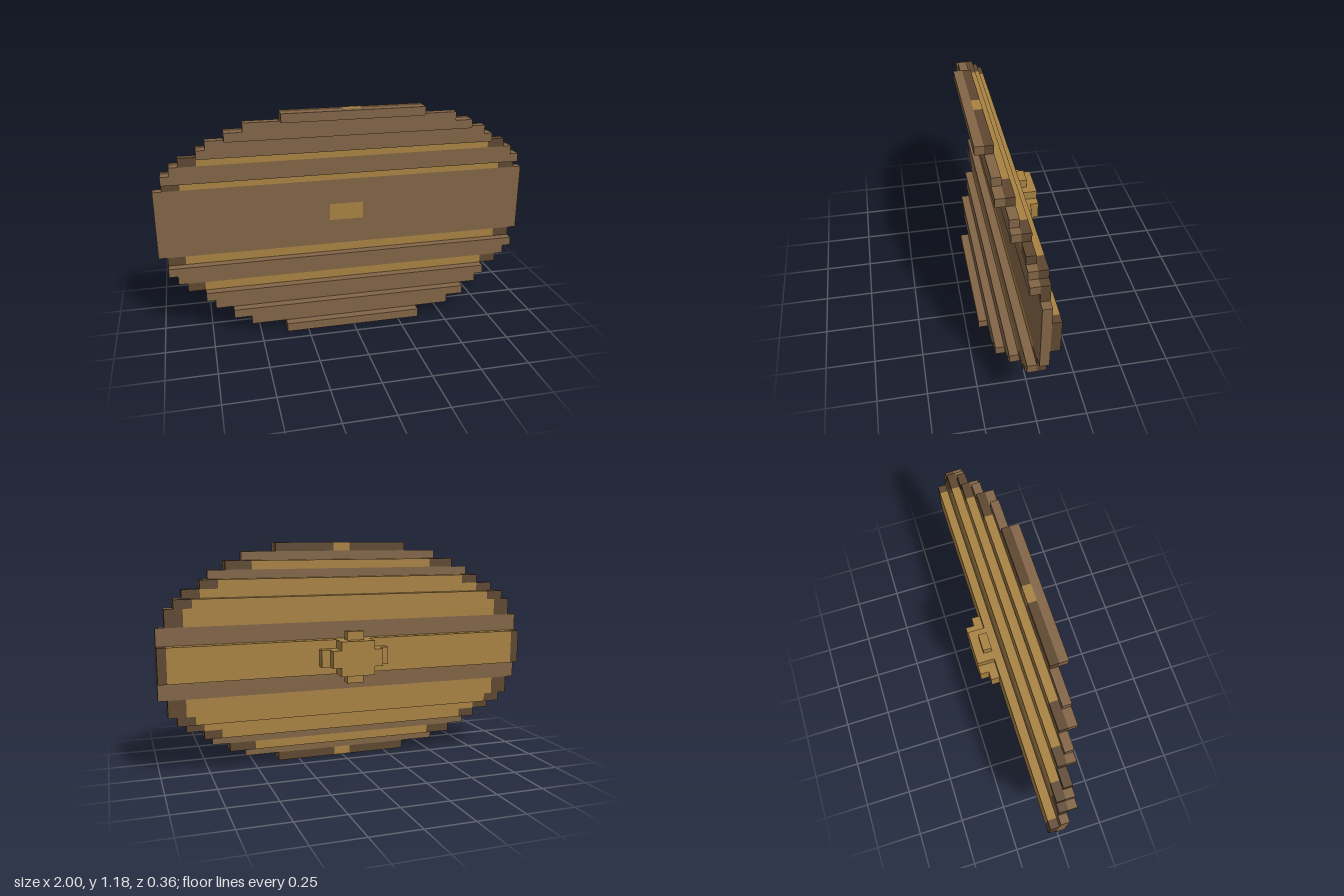
import * as THREE from 'three';

const U = 2 / 44; // edge of one block
const ROWS = 26;

export function createModel() {
  const model = new THREE.Group();
  model.name = 'shield';
  const material = (name, color) => {
    const m = new THREE.MeshStandardMaterial({ color });
    m.name = name;
    return m;
  };
  const brown = material('brown wood', 0x826547);
  const dark = material('dark wood', 0x5e4730);
  const ochre = material('ochre wood', 0xa88242);

  // Box between block coordinates
  function box(name, mat, x0, x1, y0, y1, z0, z1) {
    const mesh = new THREE.Mesh(
      new THREE.BoxGeometry((x1 - x0) * U, (y1 - y0) * U, (z1 - z0) * U), mat);
    mesh.position.set((x0 + x1) * U / 2, (y0 + y1) * U / 2, (z0 + z1) * U / 2);
    mesh.name = name;
    model.add(mesh);
  }

  // Ochre strip with a dark tip at each end
  function backStrip(name, half, inner, y0, y1, z) {
    box(name, ochre, -inner, inner, y0, y1, z, z + 1);
    box(name + 'LeftTip', dark, inner, half, y0, y1, z, z + 1);
    box(name + 'RightTip', dark, -half, -inner, y0, y1, z, z + 1);
  }

  // Curved front boards: [row, half width, back z]
  const front = [
    [0, 8, 3], [1, 12, 2], [2, 14, 2], [3, 16, 1], [4, 17, 1], [6, 20, 0], [7, 21, 0],
  ];
  // Backing strips: [row, half width, ochre half width, back z]
  const backing = [
    [0, 8, 1, 2], [2, 14, 11, 1], [4, 17, 15, 0], [5, 19, 17, 0],
    [6, 20, 18, -1], [7, 21, 19, -1], [8, 21, 19, -1],
  ];
  for (const top of [false, true]) {
    const side = top ? 'upper' : 'lower';
    const flip = (r) => (top ? ROWS - 1 - r : r);
    for (const [r, half, z] of front) {
      box(side + 'FrontBoard', brown, -half, half, flip(r), flip(r) + 1, z, z + 1);
    }
    for (const [r, half, inner, z] of backing) {
      backStrip(side + 'BackStrip', half, inner, flip(r), flip(r) + 1, z);
    }
  }

  // Wide middle board around the ochre inlay
  box('middleBoardLower', brown, -22, 22, 9, 12, -1, 0);
  box('middleBoardUpper', brown, -22, 22, 14, 17, -1, 0);
  box('middleBoardLeft', brown, 2, 22, 12, 14, -1, 0);
  box('middleBoardRight', brown, -22, -2, 12, 14, -1, 0);
  box('inlay', ochre, -2, 2, 12, 14, -1, 0);
  backStrip('middleBackStrip', 22, 21, 11, 15, -2);

  // Stepped handle boss on the back
  box('bossCore', ochre, -2, 2, 11, 15, -4, -2);
  for (const s of [-1, 1]) {
    const span = (a, b) => (s > 0 ? [a, b] : [-b, -a]);
    box('bossShoulder', ochre, ...span(2, 3), 12, 14, -4, -2);
    box('bossSideTooth', ochre, ...span(3, 4), 12, 14, -3, -2);
    const y = s > 0 ? 15 : 10;
    box('bossEndTooth', ochre, -1, 1, y, y + 1, -3, -2);
  }
  return model;
}
